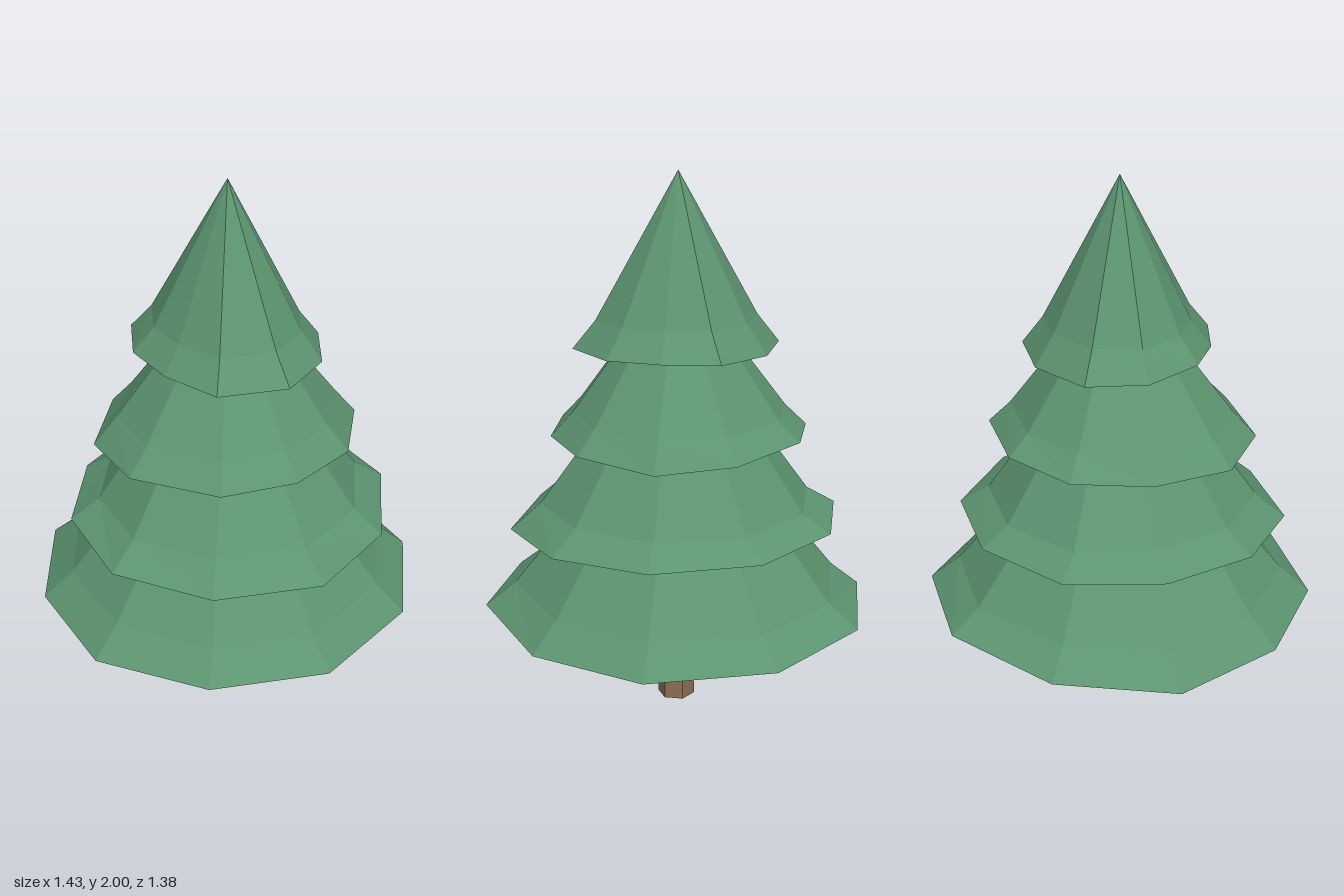
import * as THREE from 'three';

// One tier of branches: uneven ten-sided rim, flared skirt, straight cone, closed underside
function tierGeometry({ rim, lift, y, kinkY, kink, topY }) {
  const n = rim.length, cz = -0.005;
  const low = rim.map(([x, z], i) => [x, y + lift[i], z]);
  const mid = rim.map(([x, z]) => [x * kink, kinkY, cz + (z - cz) * kink]);
  const apex = [-0.005, topY, cz], base = [0, y + 0.005, 0];
  const pos = [];
  for (let i = 0; i < n; i++) {
    const j = (i + 1) % n;
    pos.push(...low[i], ...mid[i], ...mid[j], ...low[i], ...mid[j], ...low[j]); // skirt
    pos.push(...mid[i], ...apex, ...mid[j]); // cone
    pos.push(...low[i], ...low[j], ...base); // underside
  }
  const g = new THREE.BufferGeometry();
  g.setAttribute('position', new THREE.Float32BufferAttribute(pos, 3));
  g.computeVertexNormals();
  return g;
}

export function createModel() {
  const group = new THREE.Group();
  const needles = new THREE.MeshStandardMaterial({ color: 0x5c9470, flatShading: true });
  needles.name = 'needle green';
  const bark = new THREE.MeshStandardMaterial({ color: 0x8c6e52, flatShading: true });
  bark.name = 'bark brown';

  // Rims run from +x round through +z, as [x, z]
  const tiers = [
    { name: 'bottomBranches', y: 0.39, kinkY: 0.49, kink: 0.845, topY: 1.24,
      rim: [[0.715, 0], [0.565, 0.415], [0.19, 0.69], [-0.24, 0.67], [-0.595, 0.41],
        [-0.72, 0], [-0.62, -0.42], [-0.25, -0.67], [0.215, -0.69], [0.58, -0.44]],
      lift: [0, 0, 0.012, 0.012, 0, 0, 0, 0.01, 0.02, 0.01] },
    { name: 'lowerBranches', y: 0.71, kinkY: 0.805, kink: 0.82, topY: 1.49,
      rim: [[0.602, 0], [0.48, 0.36], [0.19, 0.585], [-0.2, 0.57], [-0.51, 0.345],
        [-0.6, 0], [-0.485, -0.335], [-0.22, -0.57], [0.15, -0.58], [0.47, -0.37]],
      lift: [0.025, 0.012, 0, 0, 0.005, 0.02, 0.025, 0.03, 0.035, 0.03] },
    { name: 'upperBranches', y: 1.04, kinkY: 1.14, kink: 0.83, topY: 1.67,
      rim: [[0.48, 0], [0.36, 0.29], [0.13, 0.44], [-0.145, 0.46], [-0.42, 0.265],
        [-0.5, 0], [-0.38, -0.28], [-0.16, -0.46], [0.12, -0.46], [0.4, -0.27]],
      lift: [0, 0.015, 0.015, 0.015, 0.01, 0, 0.01, 0.02, 0.03, 0.02] },
    { name: 'topBranches', y: 1.375, kinkY: 1.48, kink: 0.78, topY: 2,
      rim: [[0.327, 0], [0.28, 0.2], [0.12, 0.355], [-0.13, 0.35], [-0.27, 0.18],
        [-0.345, 0], [-0.31, -0.22], [-0.14, -0.355], [0.1, -0.335], [0.285, -0.2]],
      lift: [0.01, 0.005, 0.005, 0.005, 0.01, 0.018, 0.01, 0, 0, 0.005] },
  ];
  for (const tier of tiers) {
    const mesh = new THREE.Mesh(tierGeometry(tier), needles);
    mesh.name = tier.name;
    group.add(mesh);
  }

  // Six-sided trunk, slightly tapered
  const trunk = new THREE.Mesh(new THREE.CylinderGeometry(0.057, 0.07, 0.44, 6), bark);
  trunk.name = 'trunk';
  trunk.position.set(-0.01, 0.22, 0.003);
  group.add(trunk);

  return group;
}
